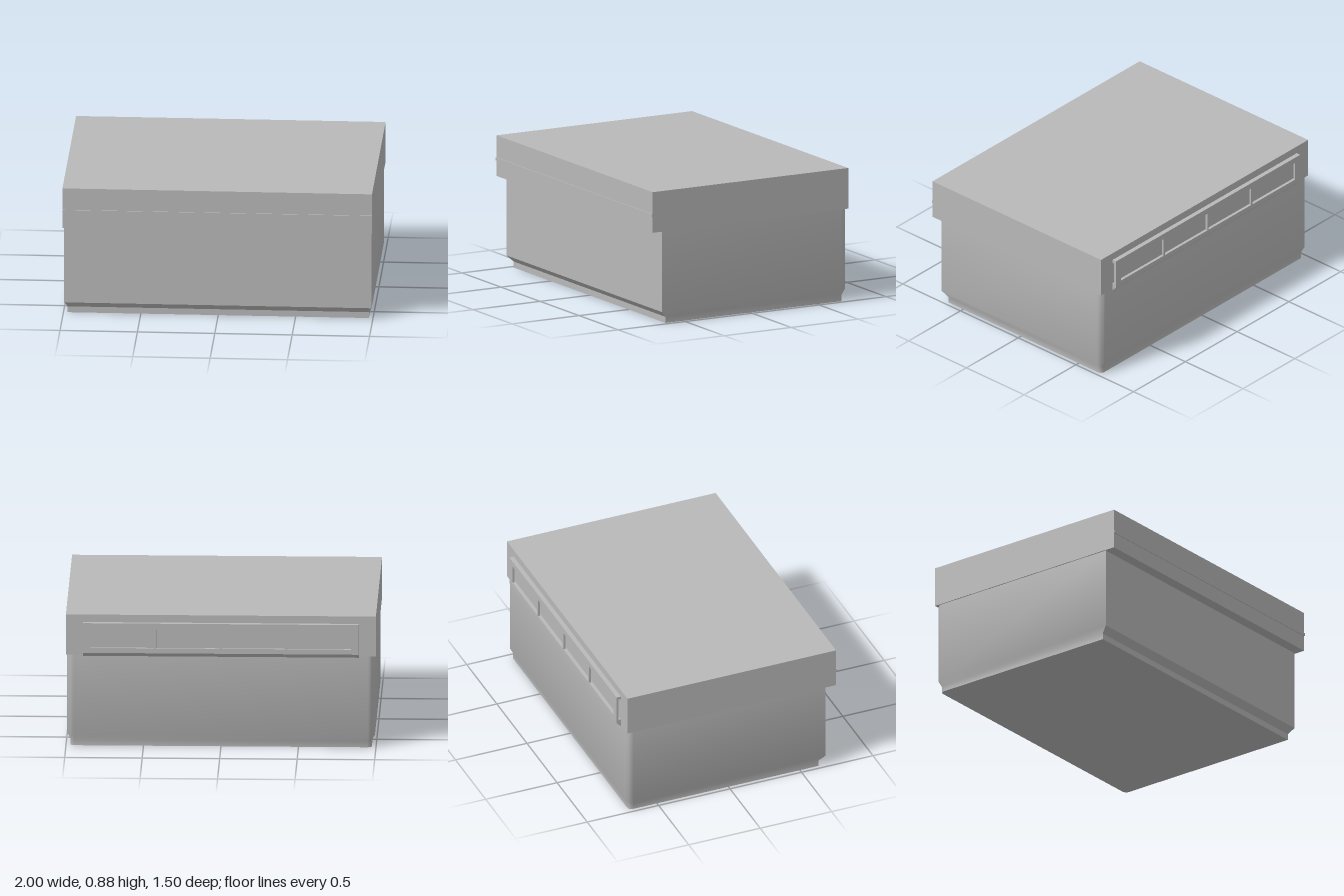
import * as THREE from 'three';
import { toCreasedNormals } from 'three/addons/utils/BufferGeometryUtils.js';

const grey = new THREE.MeshStandardMaterial({ color: 0xb8b8b8 });
grey.name = 'plain grey';

function add(group, name, geometry, x = 0, y = 0, z = 0) {
  const mesh = new THREE.Mesh(geometry, grey);
  mesh.name = name;
  mesh.position.set(x, y, z);
  group.add(mesh);
  return mesh;
}

// Box given by its lower and upper limits on each axis
function box(group, name, x0, x1, y0, y1, z0, z1) {
  return add(group, name, new THREE.BoxGeometry(x1 - x0, y1 - y0, z1 - z0),
    (x0 + x1) / 2, (y0 + y1) / 2, (z0 + z1) / 2);
}

// Horizontal section: square front corners, rounded back corners
function section(y, halfX, front, back, radius, steps = 8) {
  const ring = [[-halfX, y, front], [halfX, y, front]];
  for (const side of [1, -1]) {
    for (let i = 0; i <= steps; i++) {
      const t = (side > 0 ? i : steps - i) / steps * Math.PI / 2;
      ring.push([side * (halfX - radius + radius * Math.cos(t)), y, back + radius - radius * Math.sin(t)]);
    }
  }
  return ring;
}

// Closed solid through a stack of sections
function loft(rings) {
  const n = rings[0].length, last = (rings.length - 1) * n, index = [];
  for (let r = 0; r < rings.length - 1; r++) {
    for (let i = 0; i < n; i++) {
      const a = r * n + i, b = r * n + (i + 1) % n;
      index.push(a, b, b + n, a, b + n, a + n);
    }
  }
  for (let i = 1; i < n - 1; i++) index.push(0, i + 1, i, last, last + i, last + i + 1);
  const g = new THREE.BufferGeometry();
  g.setAttribute('position', new THREE.Float32BufferAttribute(rings.flat(2), 3));
  g.setIndex(index);
  return toCreasedNormals(g, 0.62);
}

export function createModel() {
  const model = new THREE.Group();
  model.name = 'liddedBox';

  // Tub: narrow foot, sloped step, straight walls
  add(model, 'tub', loft([
    section(0, 0.973, 0.63, -0.697, 0.03),
    section(0.04, 0.973, 0.63, -0.697, 0.03),
    section(0.08, 0.993, 0.67, -0.717, 0.045),
    section(0.612, 0.993, 0.67, -0.717, 0.045),
  ]));

  // Lid with a slim strip along its front
  box(model, 'lid', -1, 1, 0.612, 0.88, -0.718, 0.742);
  box(model, 'frontStrip', -1, 1, 0.715, 0.735, 0.742, 0.748);

  // Back rail: windowed plate held off the lid by top and bottom bars
  const rail = new THREE.Group();
  rail.name = 'backRail';
  model.add(rail);
  const half = 0.89, inner = -0.734, outer = -0.748;
  box(rail, 'topBar', -half, half, 0.81, 0.83, inner, -0.718);

  const plate = new THREE.Shape();
  plate.moveTo(-half, 0.655).lineTo(half, 0.655).lineTo(half, 0.83).lineTo(-half, 0.83).closePath();
  const width = 0.41, pitch = 0.423;
  for (let i = 0; i < 4; i++) {
    const c = (i - 1.5) * pitch, x0 = c - width / 2, x1 = c + width / 2;
    const hole = new THREE.Path();
    hole.moveTo(x0, 0.665).lineTo(x0, 0.79).lineTo(x1, 0.79).lineTo(x1, 0.665).closePath();
    plate.holes.push(hole);
  }
  add(rail, 'windowPlate',
    new THREE.ExtrudeGeometry(plate, { depth: inner - outer, bevelEnabled: false }), 0, 0, outer);

  // Bottom bar with a sloped underside, drawn in (-z, y) and swept along x
  const bar = new THREE.Shape();
  bar.moveTo(0.717, 0.605).lineTo(0.722, 0.605).lineTo(0.748, 0.632).lineTo(0.748, 0.655)
    .lineTo(0.717, 0.655).closePath();
  add(rail, 'bottomBar',
    new THREE.ExtrudeGeometry(bar, { depth: 2 * half, bevelEnabled: false }), -half).rotation.y = Math.PI / 2;

  return model;
}
